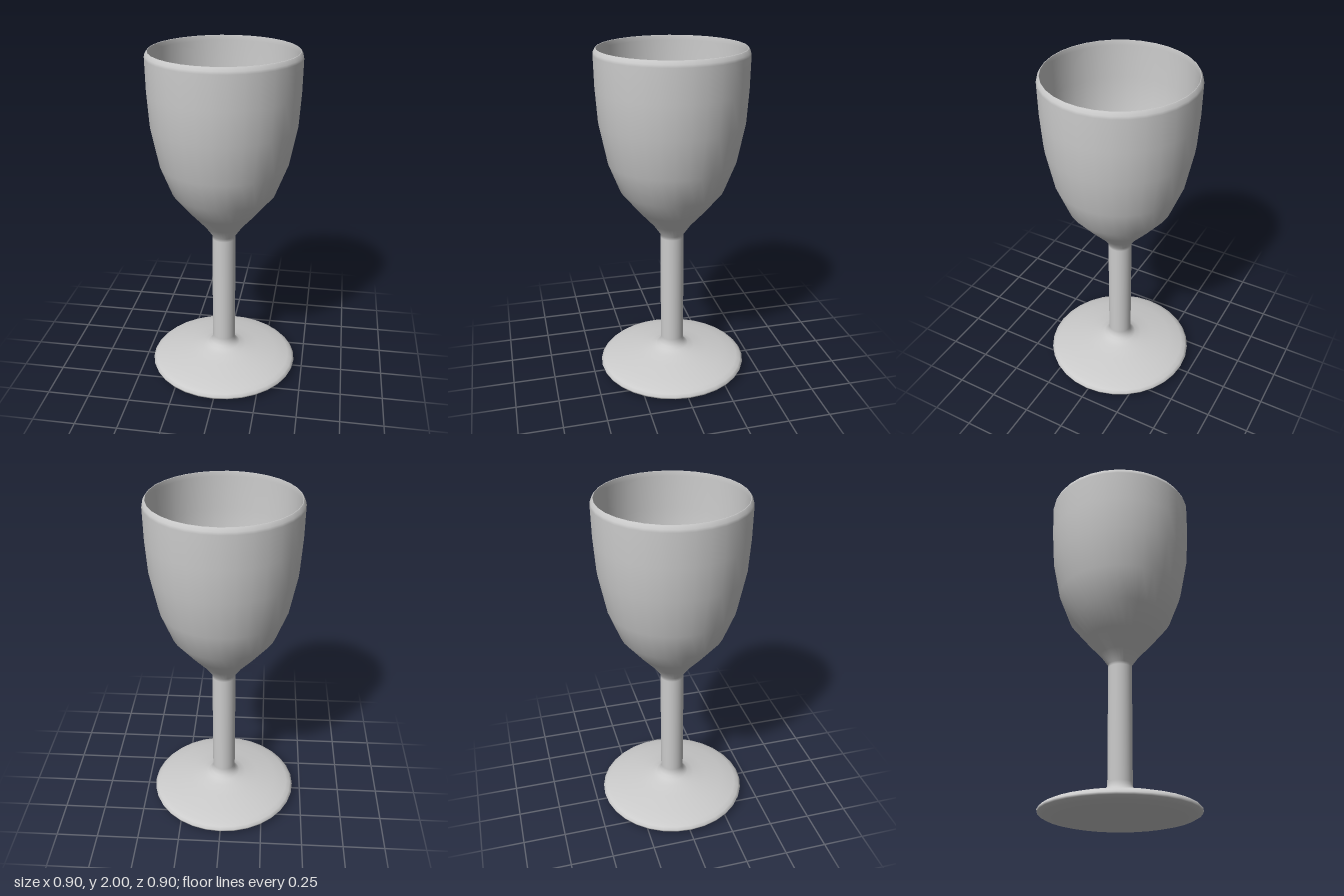
import * as THREE from 'three';

const SIDES = 32;

// Turned part from [radius, height] pairs, listed so that faces point outward
function turned(name, profile) {
  const points = profile.map(([r, y]) => new THREE.Vector2(r, y));
  const material = new THREE.MeshStandardMaterial({ color: 0xcccccc });
  const mesh = new THREE.Mesh(new THREE.LatheGeometry(points, SIDES), material);
  mesh.name = name;
  return mesh;
}

export function createModel() {
  const goblet = new THREE.Group();
  goblet.name = 'goblet';

  // Flat underside, rounded lip and shallow cone flaring up into the stem
  goblet.add(turned('foot', [
    [0, 0.005], [0.34, 0], [0.38, 0.004], [0.42, 0.014], [0.445, 0.028],
    [0.449, 0.04], [0.435, 0.055], [0.41, 0.067], [0.33, 0.09], [0.22, 0.11],
    [0.14, 0.126], [0.1, 0.14], [0.08, 0.156], [0.07, 0.18], [0.07, 0.2],
  ]));

  goblet.add(turned('stem', [[0.07, 0.2], [0.07, 0.88]]));

  // Outer wall, bevelled rim, then the inner wall down to the bottom of the cup
  goblet.add(turned('bowl', [
    [0.07, 0.88], [0.07, 0.9], [0.115, 0.965], [0.2, 1.06], [0.302, 1.185],
    [0.37, 1.36], [0.415, 1.59], [0.427, 1.78], [0.43, 1.965], [0.427, 1.98],
    [0.417, 1.997], [0.414, 2], [0.411, 1.997], [0.41, 1.97],
    [0.407, 1.78], [0.395, 1.59], [0.35, 1.37], [0.285, 1.205],
    [0.19, 1.085], [0.1, 1.01], [0, 0.985],
  ]));

  return goblet;
}
